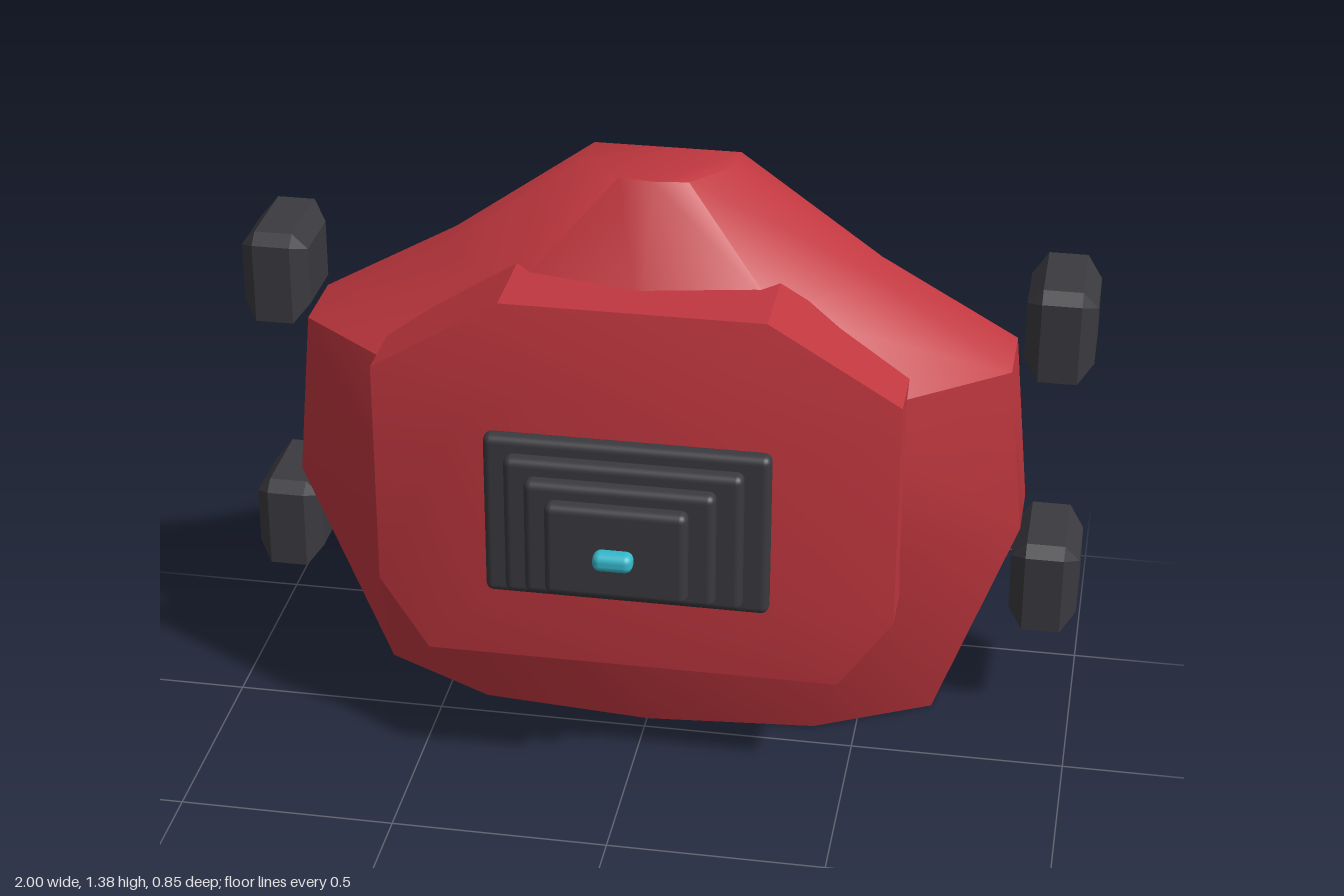
import * as THREE from 'three';
import { toCreasedNormals } from 'three/addons/utils/BufferGeometryUtils.js';
import { RoundedBoxGeometry } from 'three/addons/geometries/RoundedBoxGeometry.js';
import { ConvexGeometry } from 'three/addons/geometries/ConvexGeometry.js';

// Closed solid through rings of equal length (clockwise seen from the last ring's side)
function loft(rings, crease) {
  const n = rings[0].length, index = [], last = (rings.length - 1) * n;
  for (let r = 0; r < rings.length - 1; r++) {
    for (let i = 0; i < n; i++) {
      const a = r * n + i, b = r * n + (i + 1) % n;
      index.push(a, a + n, b + n, a, b + n, b);
    }
  }
  for (let i = 1; i < n - 1; i++) {
    index.push(0, i, i + 1, last, last + i + 1, last + i);
  }
  const geo = new THREE.BufferGeometry();
  geo.setAttribute('position', new THREE.Float32BufferAttribute(rings.flat(2), 3));
  geo.setIndex(index);
  return toCreasedNormals(geo.toNonIndexed(), crease);
}

export function createModel() {
  const group = new THREE.Group();
  const material = (name, color) => {
    const m = new THREE.MeshStandardMaterial({ color });
    m.name = name;
    return m;
  };
  const red = material('red shell', 0xc0373f);
  const dark = material('dark grey', 0x3a3a3f);
  const cyan = material('cyan', 0x35b8cb);
  const add = (name, geo, mat, x = 0, y = 0, z = 0) => {
    const mesh = new THREE.Mesh(geo, mat);
    mesh.name = name;
    mesh.position.set(x, y, z);
    group.add(mesh);
    return mesh;
  };

  // Shell: height, half width, side depth, shoulder x and z, centre z
  const back = -0.31;
  const sections = [
    [0, 0.67, -0.21, 0.4, -0.07, -0.035],
    [0.55, 0.86, -0.145, 0.51, 0.12, 0.155],
    [0.96, 0.82, -0.13, 0.49, 0.13, 0.16],
    [1.14, 0.5, -0.2, 0.3, 0.02, 0.08],
    [1.375, 0.17, -0.23, 0.08, -0.12, -0.11],
  ];
  const shellRings = sections.map(([y, w, zs, m, zm, zc]) => [
    [w, y, back], [w, y, zs], [m, y, zm], [0, y, zc],
    [-m, y, zm], [-w, y, zs], [-w, y, back],
  ]);
  add('shell', loft(shellRings, 0.75), red);

  // Raised front plate: octagonal outer edge, bevelled to a smaller flat face
  const octagon = (xt, yt, x, yu, yl, xb, yb, zt, zs, zb) => [
    [-xt, yt, zt], [xt, yt, zt], [x, yu, zs], [x, yl, zs],
    [xb, yb, zb], [-xb, yb, zb], [-x, yl, zs], [-x, yu, zs],
  ];
  const outer = [0.3, 1.18, 0.6, 0.99, 0.44, 0.48, 0.28];
  add('frontPlate', loft([
    octagon(...outer, -0.05, -0.05, -0.05),
    octagon(...outer, 0.165, 0.148, 0.175),
    octagon(0.2, 0.99, 0.4, 0.88, 0.53, 0.33, 0.44, 0.2, 0.2, 0.2),
  ], 0.5), red);

  // Stepped stack of rounded slabs
  for (let i = 0; i < 4; i++) {
    const w = 0.65 - i * 0.11, h = 0.4 - i * 0.058;
    add('stepSlab' + (i + 1), new RoundedBoxGeometry(w, h, 0.046, 3, 0.018),
      dark, 0, 0.69, 0.225 + i * 0.045);
  }

  // Small button at the tip of the stack
  add('button', new RoundedBoxGeometry(0.09, 0.044, 0.046, 3, 0.018), cyan, 0, 0.69, 0.402);

  // Four bevelled side pads
  const points = [];
  for (const sx of [-1, 1]) {
    for (const sy of [-1, 1]) {
      for (const sz of [-1, 1]) {
        points.push(new THREE.Vector3(sx * 0.08, sy * 0.07, sz * 0.08));
        if (sy > 0 && sz > 0) {
          points.push(new THREE.Vector3(sx * 0.045, 0.085, 0.118));
          points.push(new THREE.Vector3(sx * 0.045, 0.109, 0.088));
        } else {
          points.push(new THREE.Vector3(sx * 0.045, sy * 0.109, sz * 0.118));
        }
      }
    }
  }
  const pad = new ConvexGeometry(points);
  for (const [side, x] of [['left', 0.92], ['right', -0.92]]) {
    add(side + 'UpperPad', pad, dark, x, 1.02, -0.307);
    add(side + 'LowerPad', pad, dark, x, 0.36, -0.307);
  }
  return group;
}
